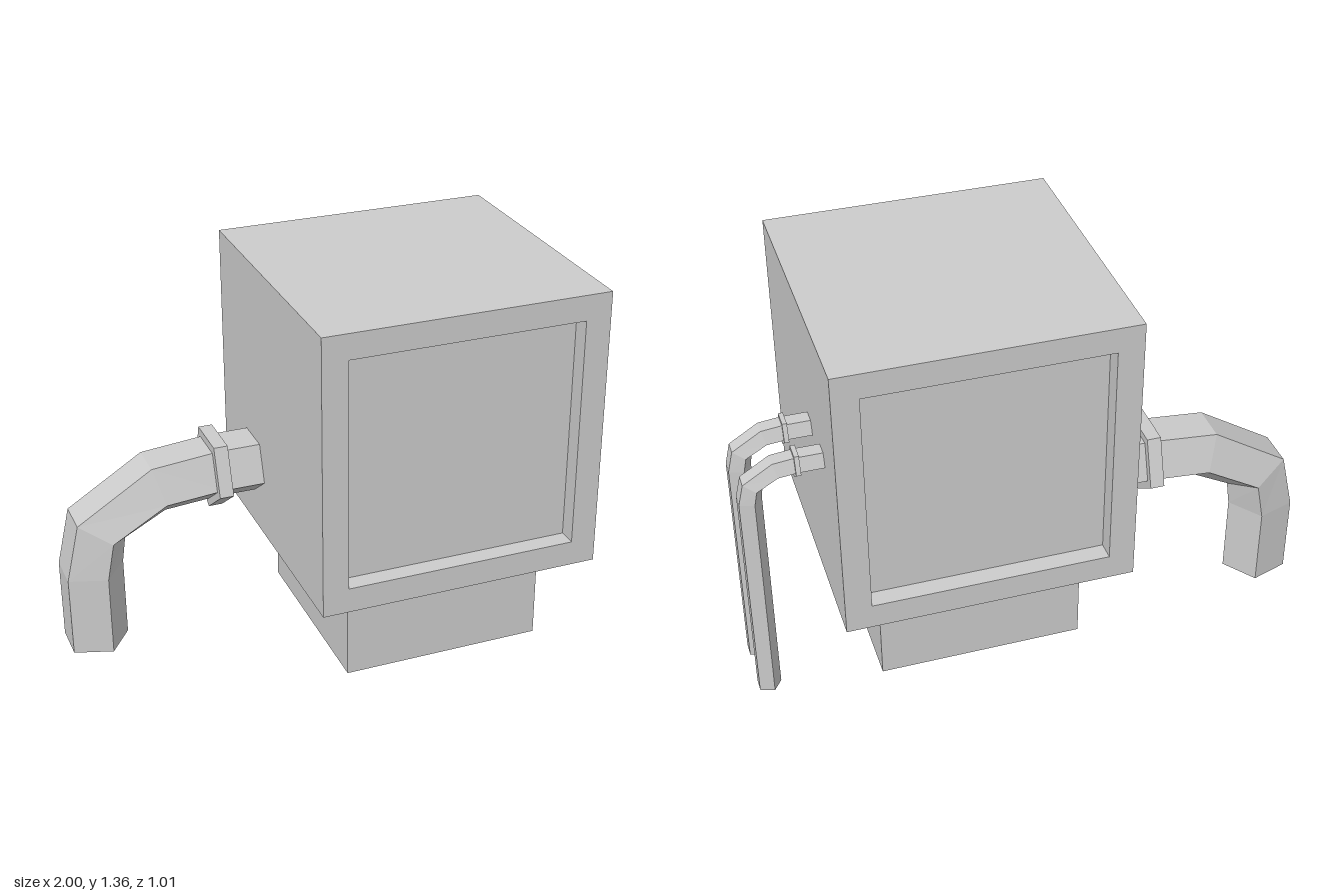
import * as THREE from 'three';

const material = new THREE.MeshStandardMaterial({
  color: 0xcccccc, flatShading: true, side: THREE.DoubleSide,
});

function addMesh(parent, name, geometry) {
  const mesh = new THREE.Mesh(geometry, material);
  mesh.name = name;
  parent.add(mesh);
  return mesh;
}

// Square lathe: each profile point is [half width, height]; sides = 3 leaves one wall open
function squareLathe(profile, sides = 4) {
  const points = profile.map(([h, y]) => new THREE.Vector2(h * Math.SQRT2, y));
  return new THREE.LatheGeometry(points, sides, Math.PI / 4, sides * Math.PI / 2).toNonIndexed();
}

// Five-sided tube; each station is [x, y, tilt of its flat outer side in degrees]
function pentagonTube(stations, r) {
  const positions = [], index = [];
  stations.forEach(([x, y, tilt], s) => {
    const t = THREE.MathUtils.degToRad(tilt);
    for (let k = 0; k < 5; k++) {
      const a = k * Math.PI * 2 / 5;
      const out = -Math.cos(a) * r;
      positions.push(x + Math.sin(t) * out, y + Math.cos(t) * out, Math.sin(a) * r);
      if (s === 0) continue;
      const a0 = (s - 1) * 5 + k, b0 = (s - 1) * 5 + (k + 1) % 5;
      index.push(a0, a0 + 5, b0, a0 + 5, b0 + 5, b0);
    }
  });
  const geometry = new THREE.BufferGeometry();
  geometry.setAttribute('position', new THREE.Float32BufferAttribute(positions, 3));
  geometry.setIndex(index);
  const flat = geometry.toNonIndexed();
  flat.computeVertexNormals();
  return flat;
}

// Pipe that leaves the wall, passes a collar and bends down to the ground at local x = 0
function createPipe(name, { r, axisY, wall, collar, collarRadius, collarWidth }) {
  const group = new THREE.Group();
  group.name = name;
  const k = r / 0.119; // bend size follows the pipe radius
  addMesh(group, 'pipe', pentagonTube([
    [-wall, axisY, 0],
    [-collar, axisY, 0],
    [-0.25 * k, axisY - 0.019 * k, 16],
    [-0.032 * k, axisY - 0.149 * k, 57],
    [0, axisY - 0.305 * k, 90],
    [0, 0, 90],
  ], r));
  const ring = new THREE.CylinderGeometry(
    collarRadius, collarRadius, collarWidth, 5, 1, false, -Math.PI / 2);
  ring.rotateZ(Math.PI / 2);
  addMesh(group, 'collar', ring).position.set(-collar, axisY, 0);
  return group;
}

export function createModel() {
  const model = new THREE.Group();
  model.name = 'boxWithPipes';
  const centreX = 0.215, half = 0.503, bodyY = 0.853;

  // Hollow body: top and side walls, open underneath where the base joins
  const body = new THREE.Group();
  body.name = 'body';
  body.position.set(centreX, bodyY, 0);
  model.add(body);
  const walls = squareLathe([[half, -half], [half, half]], 3).rotateX(Math.PI / 2);
  addMesh(body, 'walls', walls);

  // Framed, recessed panels on the front and back
  const panel = squareLathe([[half, half], [0.413, half], [0.413, 0.437], [0, 0.437]])
    .rotateX(Math.PI / 2);
  addMesh(body, 'frontPanel', panel);
  addMesh(body, 'backPanel', panel).rotation.y = Math.PI;

  // Open base with a tapered neck
  const base = squareLathe([[0.36, 0], [0.36, 0.277], [half, bodyY - half]]);
  addMesh(model, 'base', base).position.x = centreX;

  // Thick pipe on the right side
  const thick = createPipe('thickPipe', {
    r: 0.119, axisY: 0.6, wall: 0.616, collar: 0.468, collarRadius: 0.152, collarWidth: 0.05,
  });
  thick.position.set(-0.904, 0, -0.185);
  thick.rotation.y = Math.PI;
  model.add(thick);

  // Pair of thin pipes on the left side
  [-0.11, -0.295].forEach((z, i) => {
    const thin = createPipe(i ? 'thinPipeBack' : 'thinPipeFront', {
      r: 0.0435, axisY: 0.921, wall: 0.247, collar: 0.16, collarRadius: 0.055, collarWidth: 0.016,
    });
    thin.position.set(0.965, 0, z);
    model.add(thin);
  });

  return model;
}
